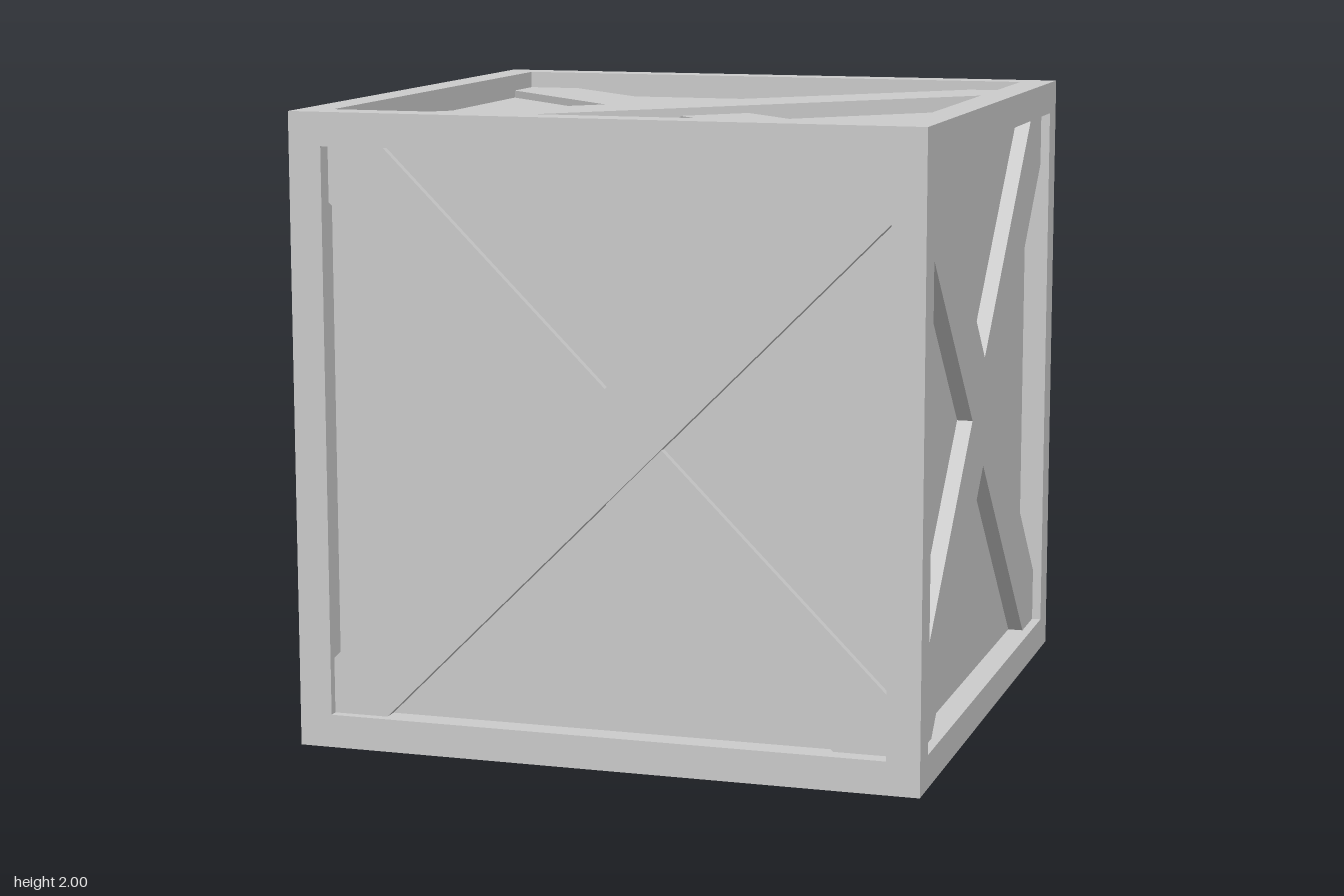
import * as THREE from 'three';

const BAR = 0.105;          // frame beam thickness
const OPEN = 1 - BAR;       // half size of each framed opening
const PANEL = 0.92;         // half size of the inner box
const CUT = 0.177;          // half width of a brace measured along an axis
const HIGH = 0.97, LOW = 0.945; // outer levels of the braces

const material = new THREE.MeshStandardMaterial({ color: 0xcccccc, flatShading: true });

function addMesh(parent, name, geometry) {
  const mesh = new THREE.Mesh(geometry, material);
  mesh.name = name;
  parent.add(mesh);
  return mesh;
}

// Extrudes an outline from just inside the panel out to the given level
function slab(points, level) {
  const shape = new THREE.Shape(points.map(([x, y]) => new THREE.Vector2(x, y)));
  const base = PANEL - 0.01;
  return new THREE.ExtrudeGeometry(shape, { depth: level - base, bevelEnabled: false }).translate(0, 0, base);
}

// Diagonal plank trimmed to the opening; dir = 1 rises to the right
function plank(dir, level) {
  const a = OPEN, b = OPEN - CUT;
  const pts = [[-a, -a], [-b, -a], [a, b], [a, a], [b, a], [-a, -b]].map(([x, y]) => [x * dir, y]);
  return slab(pts, level);
}

// Both diagonals joined at one level
function flatCross(level) {
  const a = OPEN, b = OPEN - CUT, pts = [];
  for (let i = 0; i < 4; i++) {
    const c = Math.round(Math.cos(i * Math.PI / 2)), s = Math.round(Math.sin(i * Math.PI / 2));
    for (const [x, y] of [[CUT, 0], [a, b], [a, a], [b, a]]) pts.push([x * c - y * s, x * s + y * c]);
  }
  return slab(pts, level);
}

export function createModel() {
  const model = new THREE.Group();
  model.name = 'crate';
  const body = new THREE.Group();
  body.name = 'crateBody';
  body.position.y = 1;
  model.add(body);

  // Recessed panels
  addMesh(body, 'panels', new THREE.BoxGeometry(2 * PANEL, 2 * PANEL, 2 * PANEL));

  // Frame: four posts with rails between them
  const frame = new THREE.Group();
  frame.name = 'frame';
  body.add(frame);
  const mid = 1 - BAR / 2;
  for (const s of [-1, 1]) {
    for (const t of [-1, 1]) {
      addMesh(frame, 'cornerPost', new THREE.BoxGeometry(BAR, 2, BAR)).position.set(s * mid, 0, t * mid);
      addMesh(frame, 'crossRail', new THREE.BoxGeometry(2 * OPEN, BAR, BAR)).position.set(0, s * mid, t * mid);
      addMesh(frame, 'sideRail', new THREE.BoxGeometry(BAR, BAR, 2 * OPEN)).position.set(s * mid, t * mid, 0);
    }
  }

  // Braces: stepped planks on front, back and top; level crosses on the sides
  const addSteppedBraces = (name, rx, ry) => {
    const group = new THREE.Group();
    group.name = name;
    group.rotation.set(rx, ry, 0);
    addMesh(group, 'upperBrace', plank(1, HIGH));
    addMesh(group, 'lowerBrace', plank(-1, LOW));
    body.add(group);
  };
  addSteppedBraces('frontBraces', 0, 0);
  addSteppedBraces('backBraces', 0, Math.PI);
  addSteppedBraces('topBraces', -Math.PI / 2, 0);
  for (const s of [-1, 1]) {
    addMesh(body, s > 0 ? 'leftCrossBrace' : 'rightCrossBrace', flatCross(HIGH)).rotation.y = s * Math.PI / 2;
  }
  return model;
}
